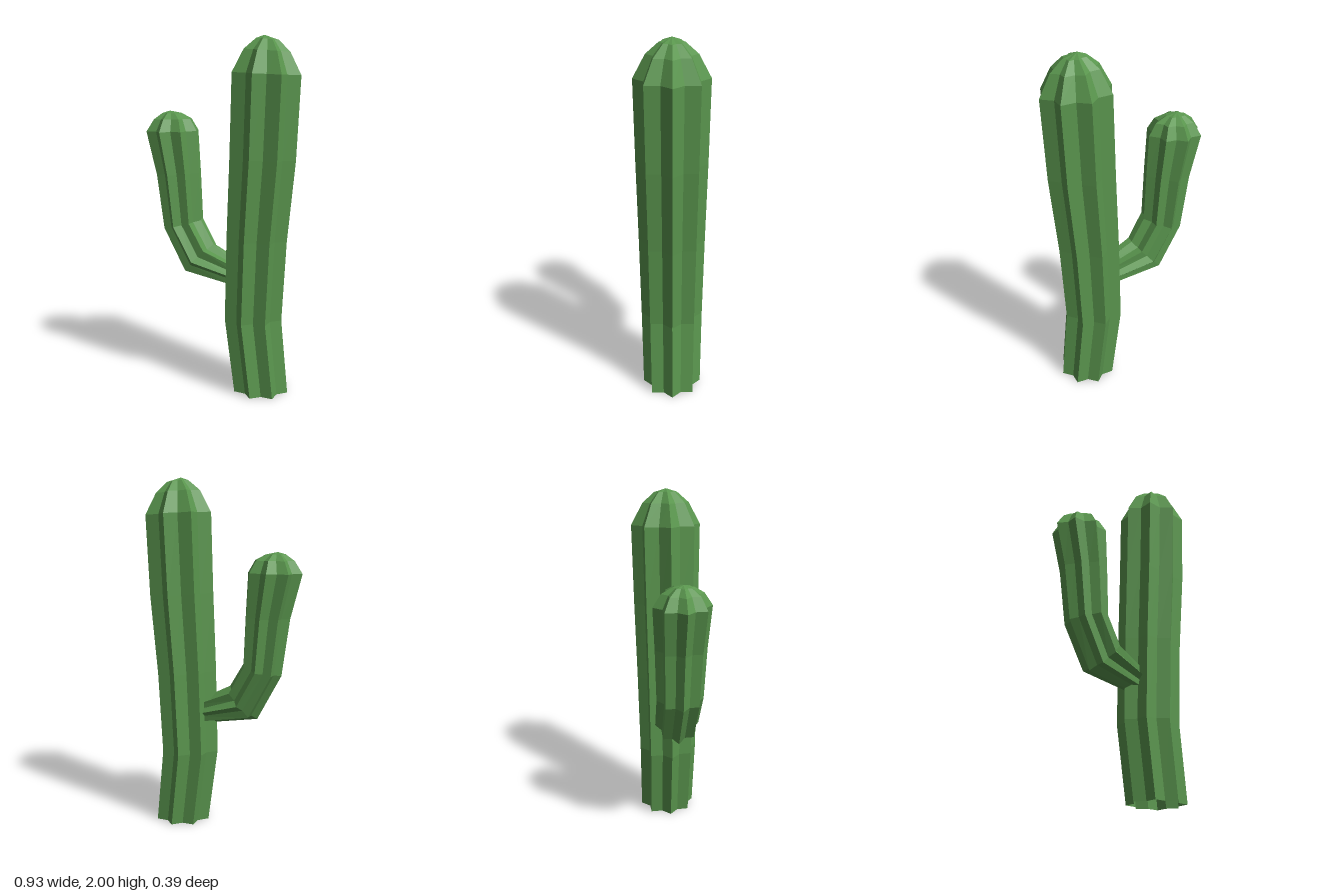
import * as THREE from 'three';

const RIBS = 8;
const VALLEY = 0.77; // depth of the grooves relative to the rib tips

// Ribbed limb lofted through rings of [leftX, leftY, rightX, rightY, halfDepth], closed by a tip
function ribbedLimb(name, rings, tip, material) {
  const n = RIBS * 2;
  const positions = [];
  const index = [];
  for (const [lx, ly, rx, ry, depth] of rings) {
    for (let j = 0; j < n; j++) {
      const a = (j / n) * Math.PI * 2;
      const k = j % 2 ? VALLEY : 1;
      const c = Math.cos(a) * k * 0.5;
      positions.push(
        (lx + rx) / 2 + (rx - lx) * c,
        (ly + ry) / 2 + (ry - ly) * c,
        Math.sin(a) * k * depth
      );
    }
  }
  positions.push(tip[0], tip[1], 0);

  const last = rings.length - 1;
  for (let i = 0; i <= last; i++) {
    for (let j = 0; j < n; j++) {
      const a = i * n + j;
      const b = i * n + ((j + 1) % n);
      if (i === last) index.push(a, rings.length * n, b);
      else index.push(a, a + n, b, b, a + n, b + n);
    }
  }
  const geometry = new THREE.BufferGeometry();
  geometry.setAttribute('position', new THREE.Float32BufferAttribute(positions, 3));
  geometry.setIndex(index);
  const flat = geometry.toNonIndexed();
  flat.computeVertexNormals();
  const mesh = new THREE.Mesh(flat, material);
  mesh.name = name;
  return mesh;
}

export function createModel() {
  const group = new THREE.Group();
  group.name = 'cactus';
  const green = new THREE.MeshStandardMaterial({
    color: 0x5a964e, flatShading: true, side: THREE.DoubleSide,
  });
  green.name = 'cactus green';

  // Gently bent trunk, open underneath, with a domed top
  group.add(ribbedLimb('trunk', [
    [0.09, 0, 0.42, 0, 0.165],
    [0.03, 0.43, 0.376, 0.43, 0.173],
    [0.04, 0.91, 0.4, 0.89, 0.181],
    [0.055, 1.36, 0.443, 1.34, 0.19],
    [0.068, 1.81, 0.463, 1.79, 0.197],
    [0.135, 1.93, 0.4, 1.91, 0.132],
    [0.205, 1.985, 0.335, 1.972, 0.065],
  ], [0.252, 2], green));

  // Side arm growing out of the trunk and turning upward
  group.add(ribbedLimb('arm', [
    [0.1, 0.597, 0.13, 0.74, 0.085],
    [-0.215, 0.65, -0.05, 0.83, 0.124],
    [-0.355, 0.91, -0.13, 0.965, 0.13],
    [-0.4, 1.23, -0.142, 1.24, 0.141],
    [-0.465, 1.476, -0.155, 1.48, 0.156],
    [-0.42, 1.545, -0.195, 1.547, 0.112],
    [-0.37, 1.58, -0.255, 1.578, 0.057],
  ], [-0.325, 1.592], green));

  return group;
}
